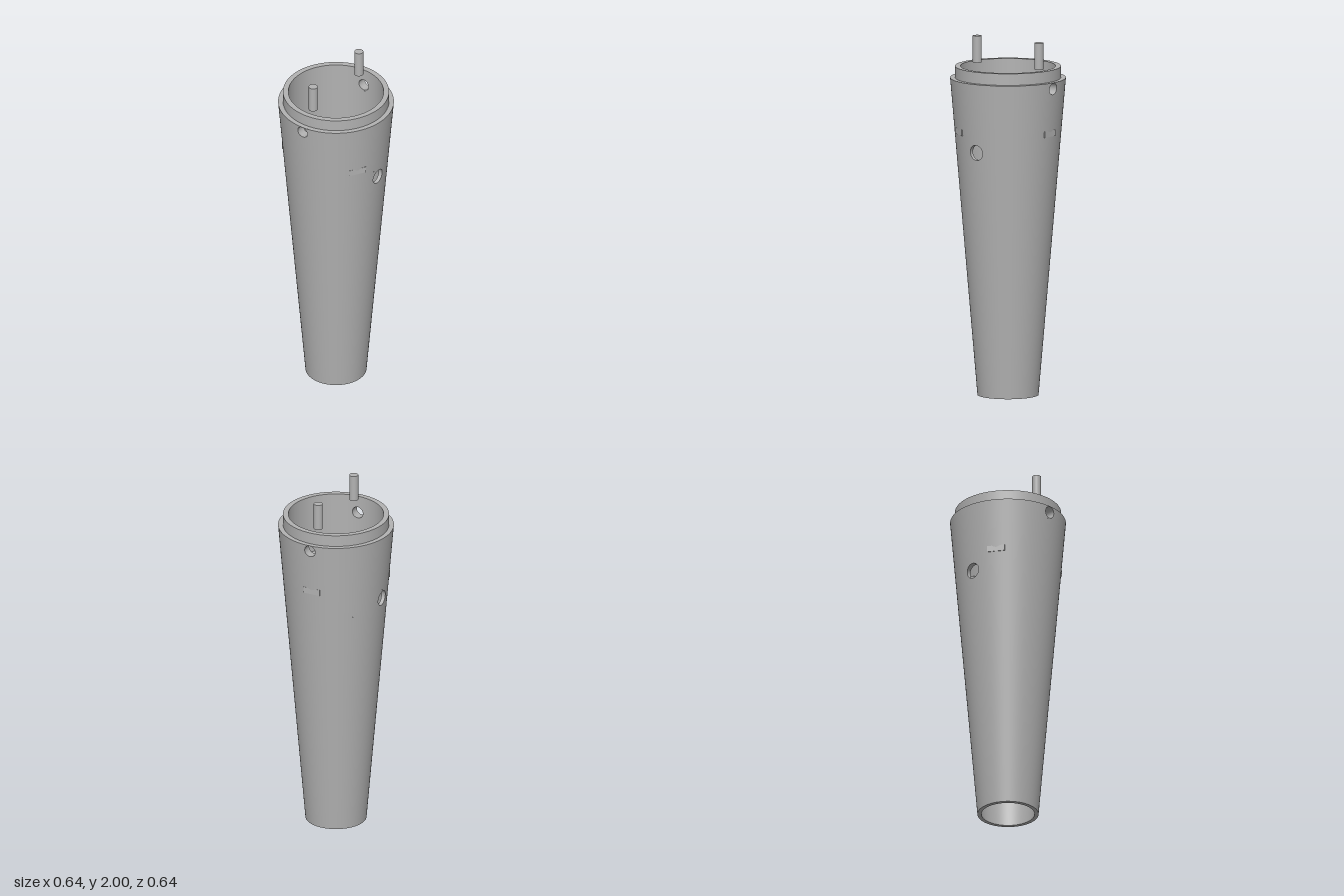
import * as THREE from 'three';
import { mergeGeometries } from 'three/addons/utils/BufferGeometryUtils.js';
import { ParametricGeometry } from 'three/addons/geometries/ParametricGeometry.js';

const SHOULDER = 1.785, TOP = 1.85, BORE = 0.265, SEGMENTS = 96;
const outerRadius = y => 0.17 + (0.152 * y) / SHOULDER;
const innerRadius = y => Math.min(BORE, outerRadius(y) - 0.022);

// Point on the tapered wall at an angle from the front and a height
const onWall = (radius, angle, y, target) =>
  target.set(radius(y) * Math.sin(angle), y, radius(y) * Math.cos(angle));

// Plain wall panel; the inner skin is flipped to face the axis
function panel(radius, a0, a1, y0, y1, rows) {
  const flip = radius === innerRadius;
  const slices = Math.max(2, Math.ceil((SEGMENTS * (a1 - a0)) / (2 * Math.PI)));
  return new ParametricGeometry((u, v, p) =>
    onWall(radius, a0 + (a1 - a0) * (flip ? 1 - u : u), y0 + (y1 - y0) * v, p), slices, rows);
}

// Angle and height of a point on the rim of a round drilled hole
function rim(radius, hole, phi) {
  const y = hole.y + hole.r * Math.sin(phi);
  return [Math.asin((hole.r * Math.cos(phi)) / radius(y)), y];
}

// Wall patch running from a rectangular border in to the hole rim
function holePatch(radius, hole, dir) {
  const flip = radius === innerRadius;
  return new ParametricGeometry((u, v, p) => {
    const phi = 2 * Math.PI * (flip ? 1 - u : u);
    const c = Math.cos(phi), s = Math.sin(phi);
    const m = 1 / Math.max(Math.abs(c), Math.abs(s));
    const [ra, ry] = rim(radius, hole, phi);
    const ba = hole.half * m * c;
    const by = (hole.y0 + hole.y1) / 2 + ((hole.y1 - hole.y0) / 2) * m * s;
    onWall(radius, dir + ba + (ra - ba) * v, by + (ry - by) * v, p);
  }, 40, 4);
}

// Cut face through the thickness of the wall
function holeTube(hole, dir) {
  const inner = new THREE.Vector3();
  return new ParametricGeometry((u, v, p) => {
    const phi = 2 * Math.PI * u;
    const [oa, oy] = rim(outerRadius, hole, phi);
    const [ia, iy] = rim(innerRadius, hole, phi);
    onWall(innerRadius, dir + ia, iy, inner);
    onWall(outerRadius, dir + oa, oy, p).lerp(inner, v);
  }, 40, 1);
}

// Straight lathe section with its own sharp edges
const ring = (r0, y0, r1, y1) =>
  new THREE.LatheGeometry([new THREE.Vector2(r0, y0), new THREE.Vector2(r1, y1)], SEGMENTS);

function bodyGeometry() {
  const parts = [];
  const holes = [
    { y: 1.395, r: 0.043, y0: 1.34, y1: 1.45, half: 0.2, dir: 0 },
    { y: 1.75, r: 0.033, y0: 1.71, y1: SHOULDER, half: 0.2, dir: Math.PI / 2 },
  ];
  for (const radius of [outerRadius, innerRadius]) {
    // Unbroken bands
    parts.push(panel(radius, 0, 2 * Math.PI, 0, 1.34, 8));
    parts.push(panel(radius, 0, 2 * Math.PI, 1.45, 1.71, 2));
    // Bands with a pair of opposite holes
    for (const h of holes) {
      for (const dir of [h.dir, h.dir + Math.PI]) {
        parts.push(holePatch(radius, h, dir));
        parts.push(panel(radius, dir + h.half, dir + Math.PI - h.half, h.y0, h.y1, 10));
      }
    }
  }
  for (const h of holes) parts.push(holeTube(h, h.dir), holeTube(h, h.dir + Math.PI));
  // Shoulder, raised lip and bottom edge
  parts.push(
    ring(outerRadius(SHOULDER), SHOULDER, 0.295, SHOULDER),
    ring(0.295, SHOULDER, 0.295, TOP),
    ring(0.295, TOP, BORE, TOP),
    ring(BORE, TOP, BORE, SHOULDER),
    ring(innerRadius(0), 0, outerRadius(0), 0),
  );
  return mergeGeometries(parts);
}

export function createModel() {
  const model = new THREE.Group();
  model.name = 'taperedTube';
  const grey = new THREE.MeshStandardMaterial({ color: 0xb2b2b2 });
  grey.name = 'grey';

  const body = new THREE.Mesh(bodyGeometry(), grey);
  body.name = 'body';
  model.add(body);

  // Three inner tabs set through the wall
  const tabGeometry = new THREE.BoxGeometry(0.087, 0.035, 0.1).translate(0.2545, 1.4965, 0);
  for (let i = 0; i < 3; i++) {
    const tab = new THREE.Mesh(tabGeometry, grey);
    tab.name = 'innerTab' + (i + 1);
    tab.rotation.y = (i * 2 * Math.PI) / 3;
    model.add(tab);
  }

  // Two upright pins
  const pinGeometry = new THREE.CylinderGeometry(0.025, 0.025, 2 - TOP, 32);
  for (const side of [1, -1]) {
    const pin = new THREE.Mesh(pinGeometry, grey);
    pin.name = side > 0 ? 'leftPin' : 'rightPin';
    pin.position.set(side * 0.217, (2 + TOP) / 2, 0);
    model.add(pin);
  }
  return model;
}
